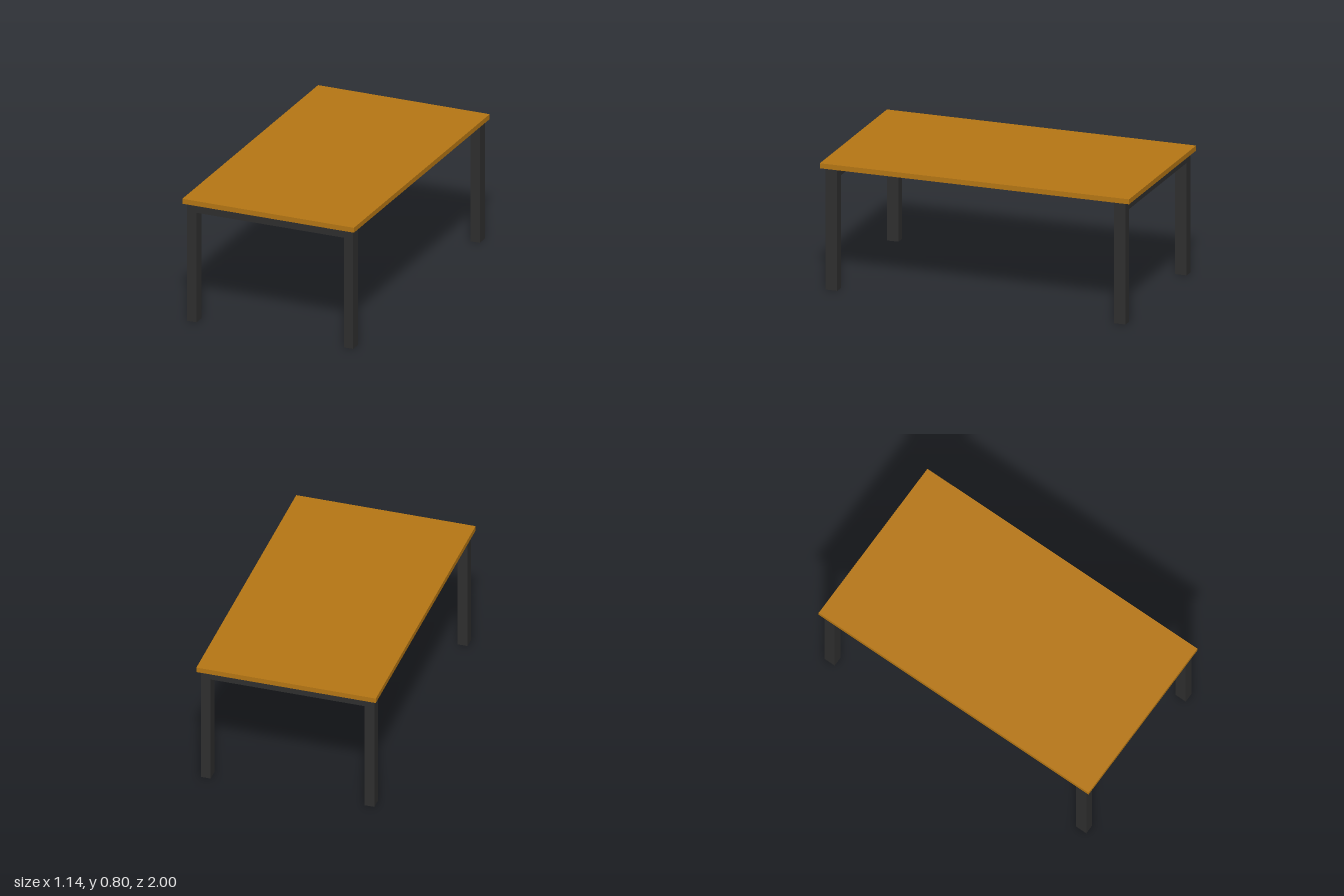
import * as THREE from 'three';

const TOP = { width: 1.137, depth: 2, bottom: 0.772, top: 0.804 };
const FRAME = { outer: 0.55, inner: 0.488, railBottom: 0.715, depth: 0.075, zOuter: 0.97 };

export function createModel() {
  const group = new THREE.Group();
  const wood = new THREE.MeshStandardMaterial({ color: 0xb57614 });
  const metal = new THREE.MeshStandardMaterial({ color: 0x2e2e2e });

  // Flat rectangular slab
  const thickness = TOP.top - TOP.bottom;
  const tabletop = new THREE.Mesh(new THREE.BoxGeometry(TOP.width, thickness, TOP.depth), wood);
  tabletop.name = 'tabletop';
  tabletop.position.y = TOP.bottom + thickness / 2;
  group.add(tabletop);

  // Leg frame: two square legs joined by a rail, one at each end
  const { outer, inner, railBottom, depth, zOuter } = FRAME;
  const outline = new THREE.Shape([
    [-outer, 0], [-inner, 0], [-inner, railBottom], [inner, railBottom],
    [inner, 0], [outer, 0], [outer, TOP.bottom], [-outer, TOP.bottom],
  ].map(([x, y]) => new THREE.Vector2(x, y)));
  const frameGeometry = new THREE.ExtrudeGeometry(outline, { depth, bevelEnabled: false });
  frameGeometry.translate(0, 0, -depth / 2);

  for (const [name, side] of [['frontLegFrame', 1], ['backLegFrame', -1]]) {
    const frame = new THREE.Mesh(frameGeometry, metal);
    frame.name = name;
    frame.position.z = side * (zOuter - depth / 2);
    group.add(frame);
  }
  return group;
}
